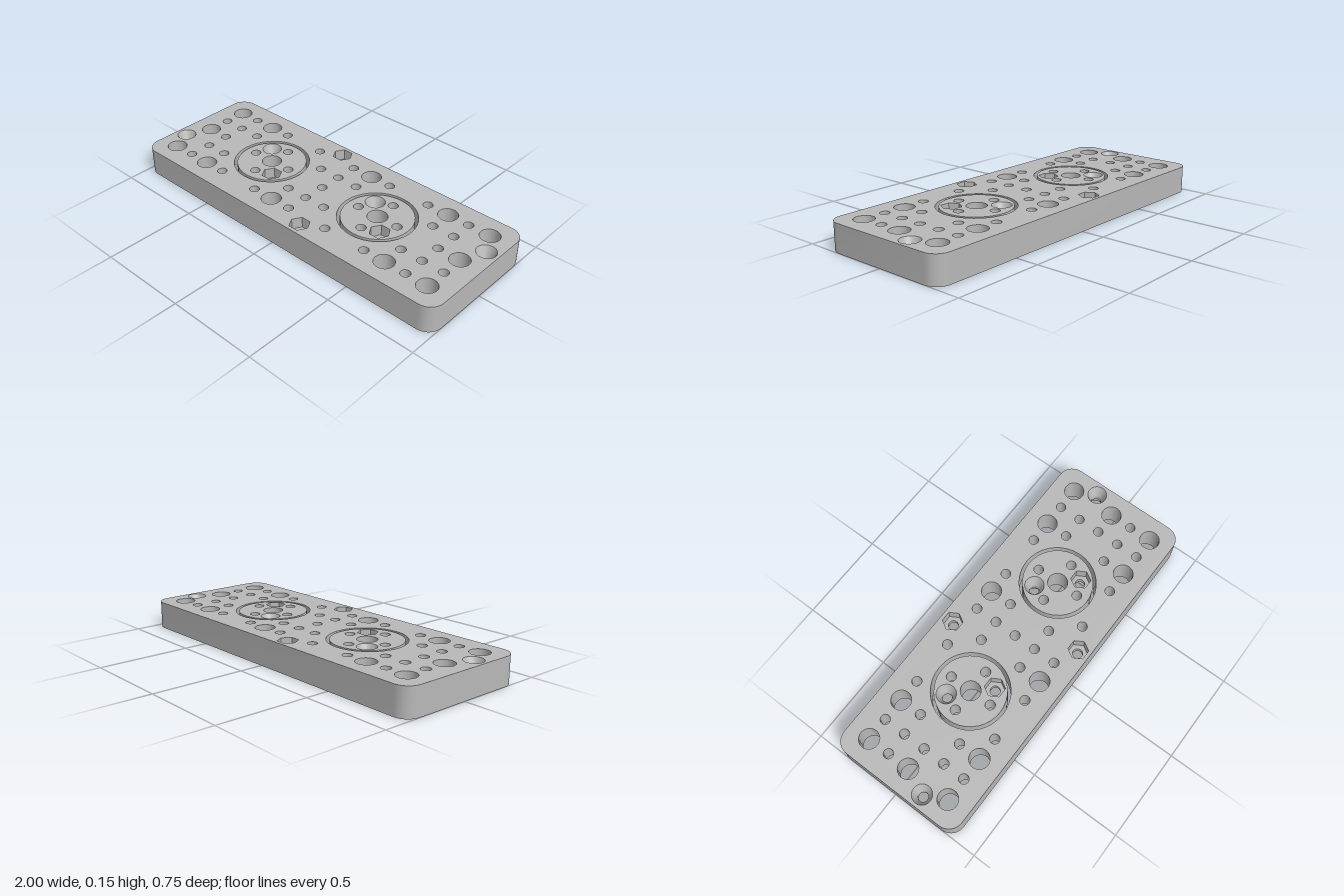
import * as THREE from 'three';
import { mergeGeometries, toCreasedNormals } from 'three/addons/utils/BufferGeometryUtils.js';

const H = 0.15, SEG = 36, BIG = 0.053, SMALL = 0.026;
const HEX = 0.054, HEX_DEPTH = 0.06, SINK = 0.052, SINK_DEPTH = 0.06;

// Counter-clockwise loop in plan; plan y is -z
function loop(x, z, radiusAt) {
  return Array.from({ length: SEG }, (_, i) => {
    const a = (i / SEG) * Math.PI * 2, r = radiusAt(a);
    return new THREE.Vector2(x + r * Math.cos(a), -z + r * Math.sin(a));
  });
}
const circle = (x, z, r) => loop(x, z, () => r);
const hexagon = (x, z, r) => loop(x, z, a =>
  r * Math.cos(Math.PI / 6) / Math.cos(((a + 1e-6) % (Math.PI / 3)) - Math.PI / 6));

function roundedRect(w, d, r) {
  const pts = [];
  [[1, 1], [-1, 1], [-1, -1], [1, -1]].forEach(([sx, sy], q) => {
    for (let i = 0; i <= 9; i++) {
      const a = (q + i / 9) * Math.PI / 2;
      pts.push(new THREE.Vector2(sx * (w - r) + r * Math.cos(a), sy * (d - r) + r * Math.sin(a)));
    }
  });
  return pts;
}

// Wall skinned through loops listed from bottom to top
function wall(rings, inward) {
  const pos = [];
  for (let k = 0; k < rings.length - 1; k++) {
    const [lo, hi] = [rings[k], rings[k + 1]];
    const n = lo.pts.length;
    for (let i = 0; i < n; i++) {
      const j = (i + 1) % n;
      const p = (ring, m) => [ring.pts[m].x, ring.y, -ring.pts[m].y];
      const [a, b, c, d] = [p(lo, i), p(lo, j), p(hi, j), p(hi, i)];
      for (const v of inward ? [a, c, b, a, d, c] : [a, b, c, a, c, d]) pos.push(...v);
    }
  }
  const g = new THREE.BufferGeometry();
  g.setAttribute('position', new THREE.Float32BufferAttribute(pos, 3));
  return toCreasedNormals(g, 0.3);
}

// Flat face with openings
function cap(outline, holes, y, up) {
  const shape = new THREE.Shape(outline);
  shape.holes = holes.map(h => new THREE.Path(h));
  const g = new THREE.ShapeGeometry(shape).toNonIndexed();
  g.deleteAttribute('uv');
  if (!up) {
    const p = g.attributes.position;
    for (let i = 0; i < p.count; i += 3) {
      const [x, v] = [p.getX(i), p.getY(i)];
      p.setXY(i, p.getX(i + 1), p.getY(i + 1));
      p.setXY(i + 1, x, v);
    }
  }
  g.rotateX(-Math.PI / 2).translate(0, y, 0);
  g.computeVertexNormals();
  return g;
}

const straightHole = (x, z, r) => [0, H].map(y => ({ pts: circle(x, z, r), y }));

// Screw bore: nut pocket at one end, countersink at the other
function screwHole(x, z, nutOnTop) {
  const rings = [
    { pts: hexagon(x, z, HEX), y: 0 },
    { pts: hexagon(x, z, HEX), y: HEX_DEPTH },
    { pts: circle(x, z, SMALL), y: HEX_DEPTH },
    { pts: circle(x, z, SMALL), y: H - SINK_DEPTH },
    { pts: circle(x, z, SINK), y: H },
  ];
  return nutOnTop ? rings.reverse().map(r => ({ pts: r.pts, y: H - r.y })) : rings;
}

function slab(name, outline, bores, material) {
  const parts = [
    wall([{ pts: outline, y: 0 }, { pts: outline, y: H }], false),
    cap(outline, bores.map(b => b[0].pts), 0, false),
    cap(outline, bores.map(b => b[b.length - 1].pts), H, true),
    ...bores.map(b => wall(b, true)),
  ];
  const mesh = new THREE.Mesh(mergeGeometries(parts), material);
  mesh.name = name;
  return mesh;
}

export function createModel() {
  const grey = new THREE.MeshStandardMaterial({ color: 0xb8b8b8 });
  grey.name = 'grey';
  const model = new THREE.Group();
  model.name = 'perforatedPlate';

  // Plate: one half of the pattern, repeated by a half turn
  const half = [
    [0.875, -0.25, BIG], [0.875, 0, BIG], [0.875, 0.25, BIG],
    [0.625, -0.25, BIG], [0.625, 0.25, BIG], [0.125, -0.25, BIG],
    [0.875, 0.125, SMALL], [0.75, 0, SMALL], [0, 0.125, SMALL], [0, 0.25, SMALL],
  ];
  for (const s of [-1, 1]) {
    for (const x of [0.125, 0.625, 0.75]) half.push([x, s * 0.125, SMALL]);
    for (const x of [0.25, 0.5, 0.75]) half.push([x, s * 0.25, SMALL]);
  }
  const bores = [straightHole(0, 0, SMALL)];
  for (const s of [-1, 1]) {
    for (const [x, z, r] of half) bores.push(straightHole(s * x, s * z, r));
    bores.push(straightHole(s * 0.375, 0, 0.205));
    bores.push(screwHole(s * 0.932, s * -0.135, false));
    bores.push(screwHole(s * 0.133, s * 0.308, true));
  }
  model.add(slab('plate', roundedRect(1, 0.374, 0.08), bores, grey));

  // Loose discs inside the round openings
  for (const [name, x] of [['leftDisc', 0.375], ['rightDisc', -0.375]]) {
    const discBores = [
      straightHole(0, 0, BIG),
      screwHole(-0.088, -0.088, false),
      screwHole(0.088, 0.088, true),
    ];
    for (const s of [-1, 1]) {
      discBores.push(straightHole(s * 0.125, 0, SMALL), straightHole(0, s * 0.125, SMALL));
    }
    const disc = slab(name, circle(0, 0, 0.188), discBores, grey);
    disc.position.x = x;
    model.add(disc);
  }
  return model;
}
